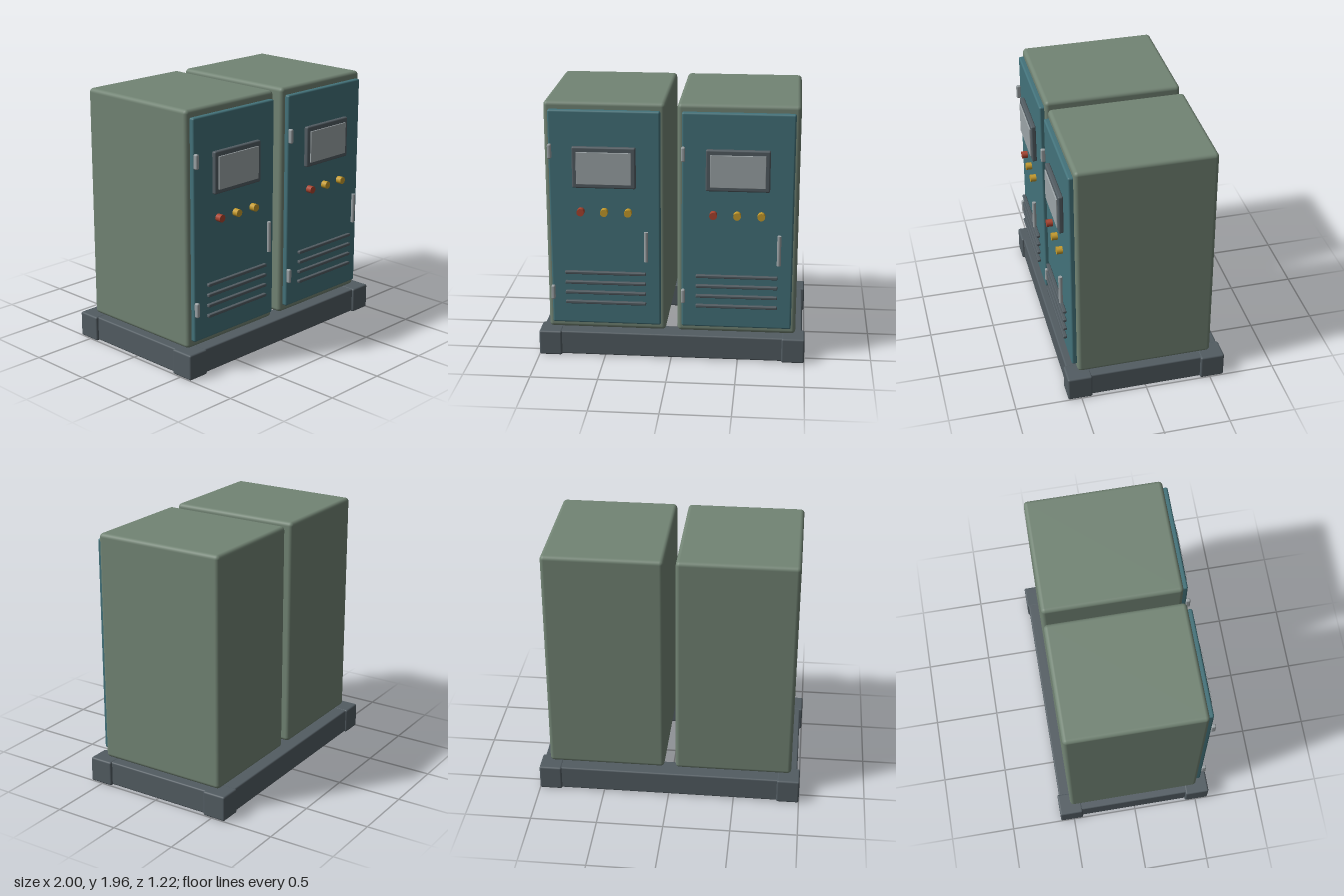
import * as THREE from 'three';
import { RoundedBoxGeometry } from 'three/addons/geometries/RoundedBoxGeometry.js';

const mat = (color) => new THREE.MeshStandardMaterial({ color });

export function createModel() {
  const green = mat(0x728474), teal = mat(0x43727a), dark = mat(0x525c62);
  const glass = mat(0x9ca4a7), metal = mat(0x9aa1a4), red = mat(0xa8432f), yellow = mat(0xc49a2c);

  const model = new THREE.Group();
  model.name = 'twinControlCabinet';

  // Rounded box given by its min and max along each axis
  function box(parent, name, material, [x0, x1], [y0, y1], [z0, z1], r) {
    const geo = new RoundedBoxGeometry(x1 - x0, y1 - y0, z1 - z0, 3, r);
    const mesh = new THREE.Mesh(geo, material);
    mesh.name = name;
    mesh.position.set((x0 + x1) / 2, (y0 + y1) / 2, (z0 + z1) / 2);
    parent.add(mesh);
    return mesh;
  }

  function cylinder(parent, name, material, radius, length, x, y, z) {
    const mesh = new THREE.Mesh(new THREE.CylinderGeometry(radius, radius, length, 20), material);
    mesh.name = name;
    mesh.position.set(x, y, z);
    parent.add(mesh);
    return mesh;
  }

  // Open plinth frame: four beams and four corner blocks
  const base = new THREE.Group();
  base.name = 'base';
  model.add(base);
  box(base, 'frontBeam', dark, [-0.98, 0.98], [0.005, 0.19], [0.415, 0.585], 0.012);
  box(base, 'backBeam', dark, [-0.98, 0.98], [0.005, 0.19], [-0.595, -0.425], 0.012);
  box(base, 'rightBeam', dark, [-0.98, -0.81], [0.005, 0.19], [-0.56, 0.55], 0.012);
  box(base, 'leftBeam', dark, [0.81, 0.98], [0.005, 0.19], [-0.56, 0.55], 0.012);
  for (const x of [[-1, -0.828], [0.828, 1]]) {
    for (const z of [[-0.608, -0.425], [0.415, 0.602]]) {
      box(base, 'cornerBlock', dark, x, [0, 0.193], z, 0.014);
    }
  }

  // One cabinet with everything mounted on its door
  function cabinet(name, cx) {
    const g = new THREE.Group();
    g.name = name;
    g.position.x = cx;
    model.add(g);

    box(g, 'body', green, [-0.444, 0.444], [0.195, 1.955], [-0.515, 0.51], 0.03);
    box(g, 'door', teal, [-0.409, 0.409], [0.25, 1.9], [0.5, 0.547], 0.014);

    // Display
    box(g, 'displayFrame', dark, [-0.233, 0.233], [1.326, 1.637], [0.545, 0.583], 0.012);
    box(g, 'displayScreen', glass, [-0.201, 0.201], [1.358, 1.6], [0.575, 0.592], 0.003);

    // Push buttons
    [[-0.176, red], [-0.002, yellow], [0.174, yellow]].forEach(([x, m]) => {
      cylinder(g, 'button', m, 0.028, 0.045, x, 1.142, 0.573).rotation.x = Math.PI / 2;
    });

    // Vertical door handle
    cylinder(g, 'handle', metal, 0.015, 0.23, 0.308, 0.89, 0.598);

    // Louvre bars
    for (let i = 0; i < 4; i++) {
      const y = 0.43 + i * 0.0787;
      box(g, 'ventBar', dark, [-0.302, 0.302], [y - 0.012, y + 0.012], [0.557, 0.586], 0.007);
    }

    // Hinges
    for (const y of [0.499, 1.595]) {
      box(g, 'hinge', metal, [-0.412, -0.383], [y - 0.055, y + 0.055], [0.543, 0.579], 0.011);
    }
  }
  cabinet('rightCabinet', -0.489);
  cabinet('leftCabinet', 0.485);

  return model;
}
